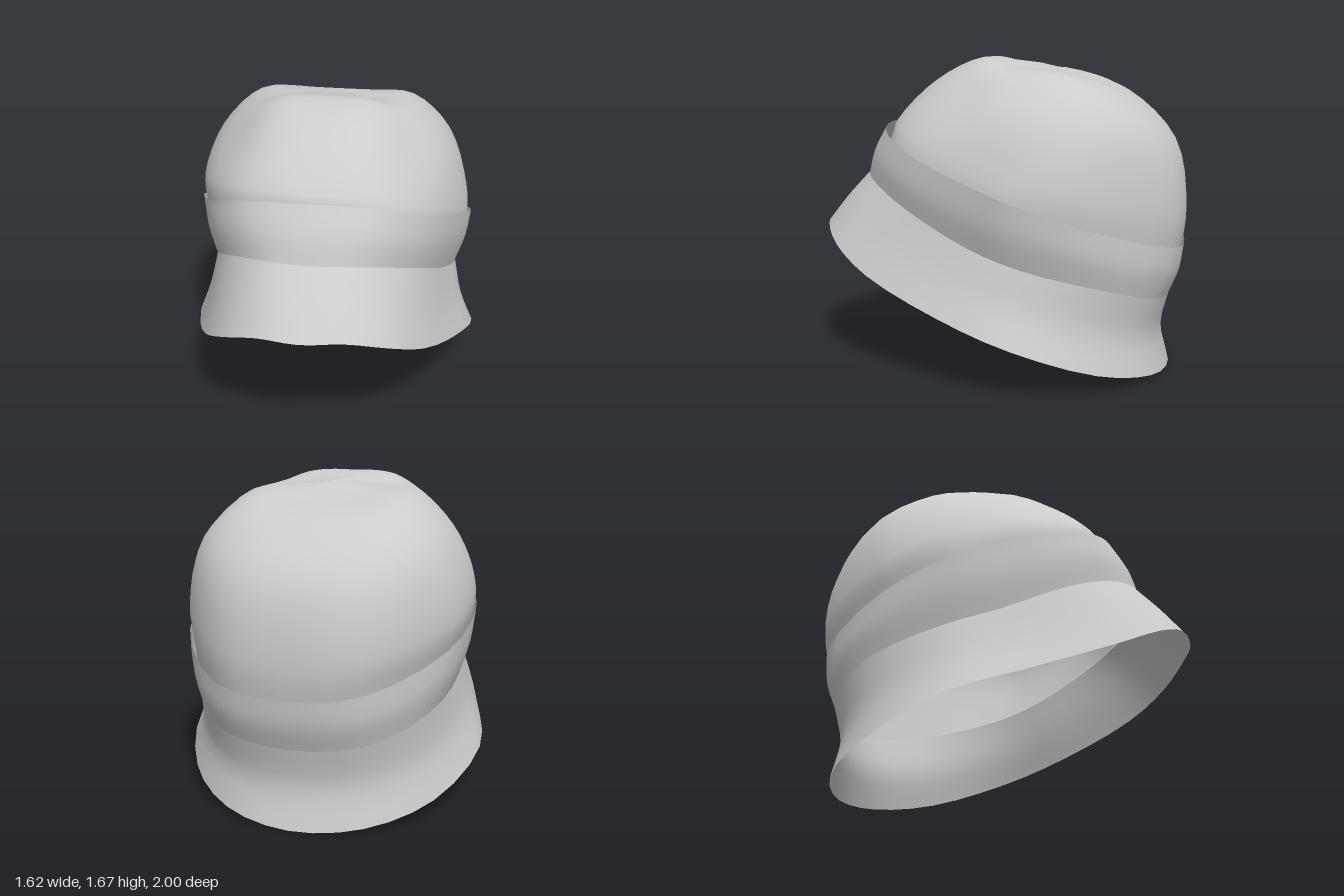
import * as THREE from 'three';

const felt = new THREE.MeshStandardMaterial({ color: 0xcccccc, side: THREE.DoubleSide });
felt.name = 'greyFelt';

const COLUMNS = 48;

// Closed ring from a half outline running front -> left side -> back, mirrored in x
function ring(half, shiftX = 0, tilt = 0) {
  const point = (s) => ([x, y, z]) => new THREE.Vector3(s * x + shiftX, y + tilt * s * x, z);
  const left = half.map(point(1));
  const right = half.slice(1, -1).reverse().map(point(-1));
  const curve = new THREE.CatmullRomCurve3([...left, ...right], true);
  return Array.from({ length: COLUMNS }, (_, j) => curve.getPoint(j / COLUMNS));
}

// Ring between two others, scaled about the hat's axis and moved along z
function between(a, b, scale, shiftZ = 0) {
  return a.map((p, j) => {
    const q = p.clone().lerp(b[j], 0.5);
    return q.set(q.x * scale, q.y, (q.z + 0.15) * scale - 0.15 + shiftZ);
  });
}

// Smooth skin through rings listed bottom to top
function loft(name, rings, rows) {
  const positions = [], index = [];
  const columns = rings[0].map((_, j) => new THREE.CatmullRomCurve3(rings.map((r) => r[j])));
  for (let i = 0; i <= rows; i++) {
    for (const c of columns) positions.push(...c.getPoint(i / rows).toArray());
  }
  for (let i = 0; i < rows; i++) {
    for (let j = 0; j < COLUMNS; j++) {
      const k = (j + 1) % COLUMNS;
      const a = i * COLUMNS + j, b = i * COLUMNS + k;
      index.push(a, b, b + COLUMNS, a, b + COLUMNS, a + COLUMNS);
    }
  }
  const geometry = new THREE.BufferGeometry();
  geometry.setAttribute('position', new THREE.Float32BufferAttribute(positions, 3));
  geometry.setIndex(index);
  geometry.computeVertexNormals();
  const mesh = new THREE.Mesh(geometry, felt);
  mesh.name = name;
  return mesh;
}

// Half outline scaled about the hat's axis and lowered
const inset = (half, scale, drop) =>
  half.map(([x, y, z]) => [x * scale, y - drop, (z + 0.18) * scale - 0.18]);

export function createModel() {
  const hat = new THREE.Group();
  hat.name = 'clocheHat';

  // Flared lower edge, dipping towards the back
  const edge = ring([
    [0, 0.755, 1], [0.21, 0.75, 0.96], [0.41, 0.67, 0.845], [0.57, 0.545, 0.63], [0.73, 0.38, 0.21],
    [0.81, 0.26, -0.17], [0.65, 0.11, -0.58], [0.36, 0.03, -0.84], [0, 0, -0.925],
  ], 0, 0.02);

  // Sharp crease where the brim meets the band
  const creaseHalf = [
    [0, 1.04, 0.75], [0.2, 1.035, 0.72], [0.38, 0.985, 0.6], [0.53, 0.89, 0.4], [0.64, 0.74, 0.08],
    [0.69, 0.65, -0.2], [0.61, 0.55, -0.58], [0.36, 0.45, -0.85], [0, 0.42, -0.92],
  ];
  const crease = ring(creaseHalf);

  // Upper edge of the band
  const bandHalf = [
    [0, 1.31, 0.635], [0.22, 1.3, 0.61], [0.4, 1.26, 0.54], [0.58, 1.17, 0.35], [0.72, 1.05, 0.02],
    [0.76, 0.99, -0.15], [0.69, 0.86, -0.52], [0.36, 0.72, -0.92], [0, 0.69, -0.99],
  ];
  const bandTop = ring(bandHalf);

  hat.add(loft('brim', [edge, between(edge, crease, 0.98, 0.03), crease], 6));
  hat.add(loft('band', [crease, between(crease, bandTop, 1.02), bandTop], 6));

  // Crown: lines the band down to the crease, rounded over, with a shallow dip on top
  const shoulder = [
    [0, 1.33, 0.585], [0.2, 1.33, 0.56], [0.38, 1.31, 0.48], [0.56, 1.25, 0.28], [0.69, 1.17, 0],
    [0.745, 1.1, -0.26], [0.69, 1, -0.55], [0.35, 0.9, -0.94], [0, 0.88, -0.995],
  ];
  const upper = [
    [0, 1.55, 0.36], [0.17, 1.54, 0.35], [0.32, 1.51, 0.29], [0.47, 1.45, 0.13], [0.59, 1.41, -0.05],
    [0.635, 1.39, -0.3], [0.58, 1.34, -0.6], [0.32, 1.25, -0.87], [0, 1.23, -0.93],
  ];
  const top = [
    [0, 1.665, 0.1], [0.14, 1.665, 0.1], [0.25, 1.65, 0.07], [0.35, 1.61, 0], [0.41, 1.59, -0.12],
    [0.43, 1.58, -0.32], [0.38, 1.53, -0.53], [0.22, 1.49, -0.65], [0, 1.48, -0.68],
  ];
  const towardsCentre = (t) => top.map(([x, y, z]) => [x * t, 1.635 + (y - 1.635) * t, -0.2 + (z + 0.2) * t]);
  const lining = [inset(creaseHalf, 0.985, 0), inset(bandHalf, 0.97, 0.06)].map((h) => ring(h));
  const dome = [shoulder, upper, top, towardsCentre(0.5), towardsCentre(0)].map((h) => ring(h, -0.02));
  hat.add(loft('crown', [...lining, ...dome], 24));

  return hat;
}
